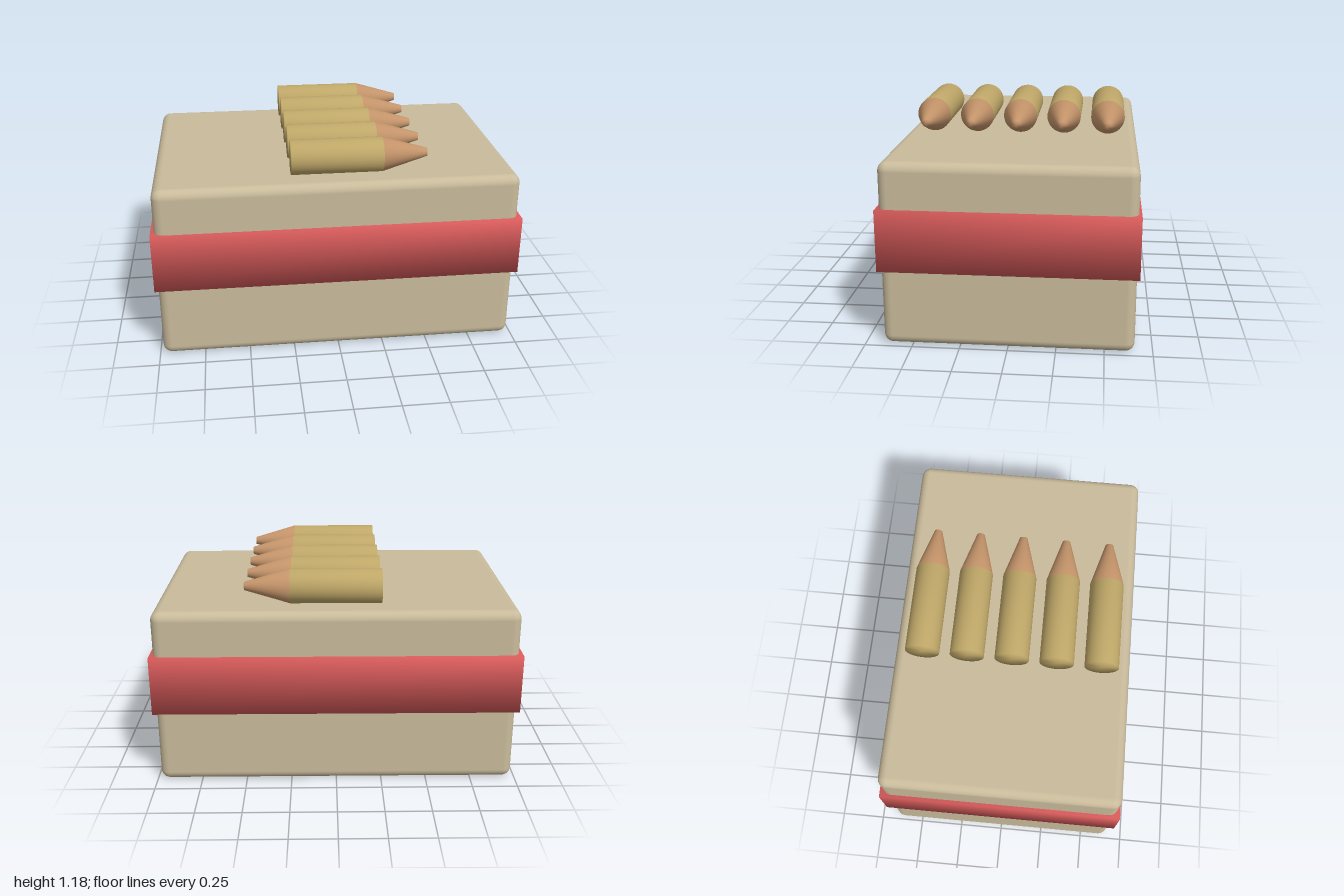
import * as THREE from 'three';
import { mergeVertices } from 'three/addons/utils/BufferGeometryUtils.js';
import { RoundedBoxGeometry } from 'three/addons/geometries/RoundedBoxGeometry.js';

function material(name, color) {
  const m = new THREE.MeshStandardMaterial({ color });
  m.name = name;
  return m;
}

// Weld the corners so that normals run softly over every edge
function soften(geometry) {
  geometry.deleteAttribute('normal');
  geometry.deleteAttribute('uv');
  const welded = mergeVertices(geometry, 1e-4);
  welded.computeVertexNormals();
  return welded;
}

function part(name, geometry, mat, x, y, z) {
  const mesh = new THREE.Mesh(geometry, mat);
  mesh.name = name;
  mesh.position.set(x, y, z);
  return mesh;
}

export function createModel() {
  const group = new THREE.Group();
  group.name = 'ammoBox';
  const card = material('tan card', 0xc9bb9b);
  const red = material('red band', 0xd65a5a);
  const brass = material('brass', 0xbfa768);
  const copper = material('copper', 0xc4946a);

  // Carton with rounded edges and the band around it
  group.add(part('carton', new RoundedBoxGeometry(1.964, 0.984, 1.312, 4, 0.05), card, 0, 0.492, 0));
  group.add(part('band', soften(new THREE.BoxGeometry(2, 0.328, 1.34)), red, 0, 0.576, 0));

  // Row of cartridges lying on the lid, points toward +x
  const radius = 0.094;
  const casing = soften(new THREE.CylinderGeometry(radius, radius, 0.492, 32).rotateZ(-Math.PI / 2));
  const tip = soften(new THREE.CylinderGeometry(0.022, radius, 0.246, 32).rotateZ(-Math.PI / 2));
  for (let i = -2; i <= 2; i++) {
    const cartridge = new THREE.Group();
    cartridge.name = 'cartridge';
    cartridge.add(part('casing', casing, brass, 0, 0, 0));
    cartridge.add(part('bulletTip', tip, copper, 0.369, 0, 0));
    cartridge.position.set(0, 1.084, i * 0.246);
    group.add(cartridge);
  }
  return group;
}
